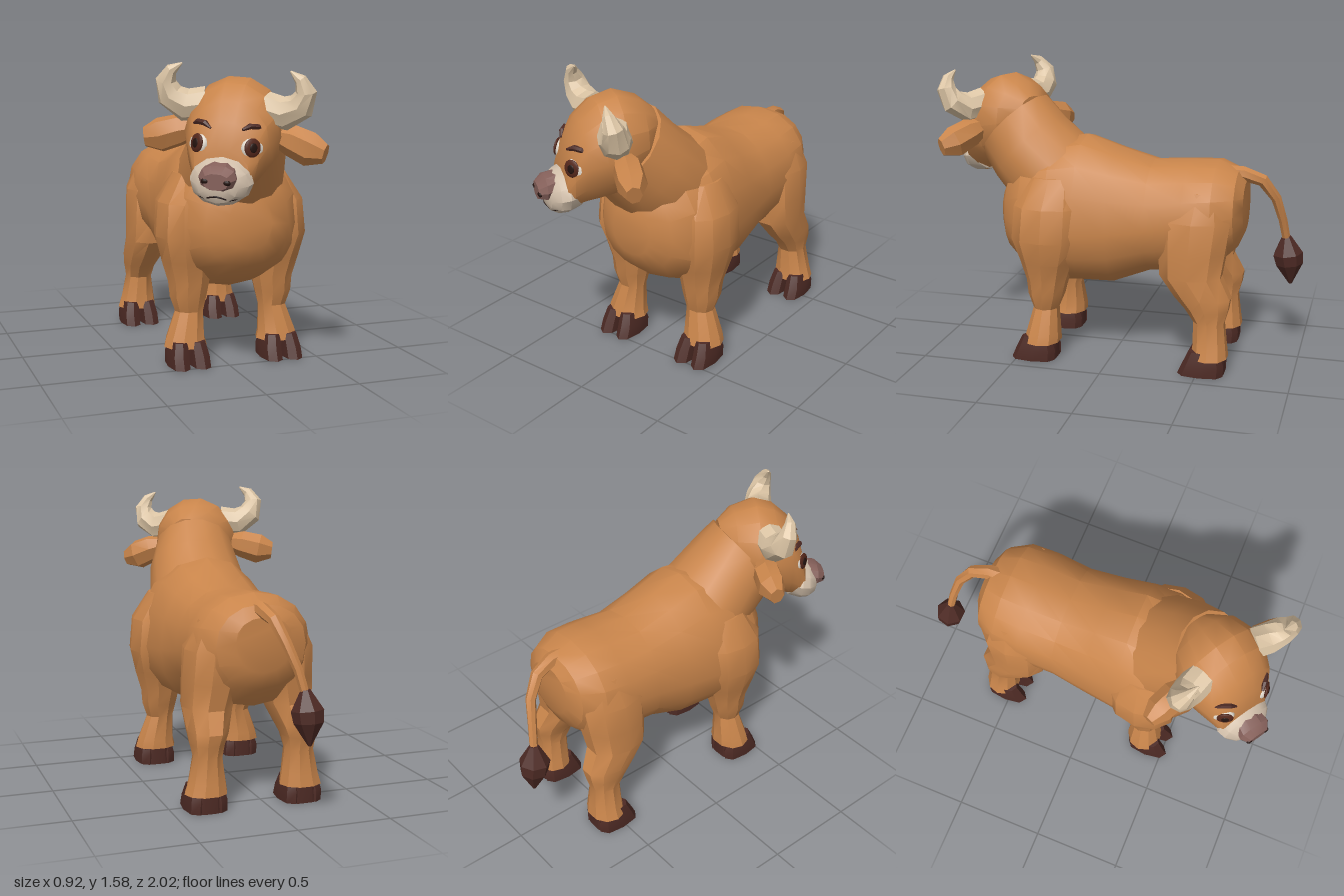
import * as THREE from 'three';
import { toCreasedNormals } from 'three/addons/utils/BufferGeometryUtils.js';

const mat = (name, color) => {
  const m = new THREE.MeshStandardMaterial({ color });
  m.name = name;
  return m;
};
const X = new THREE.Vector3(1, 0, 0), Y = new THREE.Vector3(0, 1, 0), Z = new THREE.Vector3(0, 0, 1);

// Skin through oval rings [x, y, z, sideRadius, upRadius, downRadius].
// ref sets which way "up" points; dir fixes the ring plane instead of following the path.
function loft(rings, n, ref, { dir, power = 1, crease = 0.5 } = {}) {
  const c = rings.map(r => new THREE.Vector3(r[0], r[1], r[2]));
  const pos = [], idx = [];
  const bend = v => Math.sign(v) * Math.pow(Math.abs(v), power);
  rings.forEach(([, , , rs, up = rs, down = up], i) => {
    const t = dir ? dir.clone() : c[Math.min(i + 1, c.length - 1)].clone().sub(c[Math.max(i - 1, 0)]).normalize();
    const side = ref.clone().cross(t).normalize();
    const nrm = t.clone().cross(side);
    for (let j = 0; j < n; j++) {
      const a = (j / n) * Math.PI * 2, s = bend(Math.sin(a));
      const p = c[i].clone().addScaledVector(side, rs * bend(Math.cos(a))).addScaledVector(nrm, s * (s > 0 ? up : down));
      pos.push(p.x, p.y, p.z);
    }
  });
  for (let i = 0; i < rings.length - 1; i++)
    for (let j = 0; j < n; j++) {
      const k = (j + 1) % n, a = i * n + j, b = i * n + k;
      idx.push(a, b, b + n, a, b + n, a + n);
    }
  const last = (rings.length - 1) * n;
  for (let j = 1; j < n - 1; j++) idx.push(0, j + 1, j, last, last + j, last + j + 1);
  const g = new THREE.BufferGeometry();
  g.setAttribute('position', new THREE.Float32BufferAttribute(pos, 3));
  g.setIndex(idx);
  return toCreasedNormals(g, crease);
}

function add(parent, name, geometry, material) {
  const m = new THREE.Mesh(geometry, material);
  m.name = name;
  parent.add(m);
  return m;
}

const mirror = (rings, s) => rings.map(([x, ...rest]) => [x * s, ...rest]);

export function createModel() {
  const hide = mat('tan hide', 0xc9854b);
  const hoofMat = mat('dark hoof', 0x4d2a24);
  const hornMat = mat('horn cream', 0xdcc5a5);
  const muzzleMat = mat('muzzle cream', 0xd2bfaa);
  const noseMat = mat('nose pink brown', 0x85605a);
  const whiteMat = mat('eye white', 0xe0d8cc);
  const irisMat = mat('iris brown', 0x54271b);
  const darkMat = mat('near black', 0x24130f);

  const model = new THREE.Group();
  model.name = 'bull';
  const trunk = new THREE.Group();
  trunk.name = 'trunk';
  trunk.position.x = 0.06;
  model.add(trunk);

  // Barrel body, rump to chest
  add(trunk, 'body', loft([
    [0, 0.88, -0.70, 0.15, 0.12, 0.16],
    [0, 0.85, -0.66, 0.24, 0.21, 0.22],
    [0, 0.82, -0.55, 0.31, 0.285, 0.3],
    [0, 0.80, -0.40, 0.32, 0.30, 0.3],
    [0, 0.76, -0.20, 0.31, 0.33, 0.28],
    [0, 0.73, 0.00, 0.33, 0.42, 0.33],
    [0, 0.72, 0.18, 0.355, 0.49, 0.32],
    [0, 0.72, 0.33, 0.37, 0.46, 0.33],
    [0, 0.74, 0.49, 0.32, 0.38, 0.28],
    [0, 0.755, 0.59, 0.23, 0.26, 0.21],
    [0, 0.77, 0.64, 0.12, 0.14, 0.13],
  ], 16, Y, { dir: Z, power: 0.92 }), hide);

  // Thick neck rising to the head
  add(trunk, 'neck', loft([
    [0, 0.85, 0.22, 0.28, 0.28],
    [-0.01, 0.98, 0.36, 0.285, 0.26, 0.28],
    [-0.03, 1.12, 0.50, 0.26, 0.24, 0.27],
    [-0.06, 1.23, 0.61, 0.225, 0.245, 0.25],
  ], 14, Y, { crease: 0.6 }), hide);

  // Legs with cloven hooves
  const frontLeg = [
    [0.26, 0.095, 0.37, 0.117, 0.1],
    [0.26, 0.14, 0.365, 0.105, 0.095],
    [0.235, 0.28, 0.355, 0.077, 0.07],
    [0.24, 0.36, 0.35, 0.1, 0.1],
    [0.235, 0.44, 0.345, 0.112, 0.115],
    [0.245, 0.55, 0.34, 0.135, 0.15],
    [0.27, 0.68, 0.335, 0.14, 0.195],
    [0.265, 0.86, 0.325, 0.13, 0.19],
    [0.19, 1.01, 0.31, 0.115, 0.14],
  ];
  const hindLeg = [
    [0.26, 0.09, -0.56, 0.114, 0.1],
    [0.255, 0.15, -0.56, 0.1, 0.092],
    [0.25, 0.28, -0.553, 0.077, 0.085],
    [0.25, 0.35, -0.54, 0.09, 0.12],
    [0.24, 0.41, -0.515, 0.105, 0.155],
    [0.22, 0.52, -0.445, 0.13, 0.17],
    [0.2, 0.65, -0.45, 0.148, 0.185],
    [0.19, 0.82, -0.46, 0.15, 0.2],
    [0.17, 0.97, -0.48, 0.1, 0.13],
  ];
  for (const [name, leg] of [['front', frontLeg], ['hind', hindLeg]])
    for (const s of [1, -1]) {
      const label = name + (s > 0 ? 'Left' : 'Right');
      add(trunk, label + 'Leg', loft(mirror(leg, s), 10, Z, { dir: Y, power: 0.95 }), hide);
      const hoof = new THREE.Group();
      hoof.name = label + 'Hoof';
      hoof.position.set(0.26 * s, 0, leg[0][2]);
      trunk.add(hoof);
      add(hoof, 'heel', loft([[0, 0, -0.015, 0.103, 0.07], [0, 0.095, -0.01, 0.092, 0.075]], 10, Z,
        { dir: Y, power: 0.85 }), hoofMat);
      for (const side of [1, -1])
        add(hoof, 'toe', loft([
          [0.057 * side, 0, 0.04, 0.053, 0.122],
          [0.056 * side, 0.06, 0.026, 0.053, 0.11],
          [0.047 * side, 0.13, 0.022, 0.045, 0.08],
        ], 8, Z, { dir: Y, power: 0.8 }), hoofMat);
    }

  // Tail and tuft
  add(model, 'tail', loft([
    [0.07, 1.03, -0.56, 0.05],
    [0.065, 1.035, -0.68, 0.04],
    [0.045, 1.0, -0.78, 0.034],
    [0.01, 0.9, -0.85, 0.028],
    [-0.04, 0.77, -0.885, 0.024],
    [-0.075, 0.63, -0.91, 0.022],
  ], 7, X), hide);
  add(model, 'tailTuft', loft([
    [-0.072, 0.67, -0.905, 0.025],
    [-0.08, 0.57, -0.915, 0.083],
    [-0.082, 0.51, -0.925, 0.075],
    [-0.085, 0.395, -0.935, 0.008],
  ], 7, X, { crease: 0.3 }), hoofMat);

  // Head, turned to its right and slightly tilted
  const head = new THREE.Group();
  head.name = 'head';
  head.position.set(-0.025, 1.278, 0.648);
  head.rotation.set(0, -0.57, -0.07, 'YXZ');
  model.add(head);
  add(head, 'skull', loft([
    [0, 0.03, -0.20, 0.1, 0.1],
    [0, 0.0, -0.12, 0.2, 0.2, 0.22],
    [0, -0.02, 0.0, 0.245, 0.26, 0.27],
    [0, -0.04, 0.1, 0.237, 0.25, 0.27],
    [0, -0.07, 0.19, 0.203, 0.2, 0.26],
    [0, -0.14, 0.245, 0.167, 0.17, 0.215],
    [0, -0.21, 0.28, 0.135, 0.11, 0.15],
  ], 14, Y, { dir: Z, crease: 0.6 }), hide);
  add(head, 'muzzle', loft([
    [0, -0.24, 0.2, 0.13, 0.1, 0.1],
    [0, -0.245, 0.265, 0.156, 0.12, 0.115],
    [0, -0.255, 0.31, 0.142, 0.11, 0.107],
    [0, -0.265, 0.35, 0.1, 0.085, 0.08],
    [0, -0.265, 0.368, 0.06, 0.05, 0.045],
  ], 12, Y, { dir: Z, crease: 0.6 }), muzzleMat);
  // Broad nose pad with nostrils
  add(head, 'nose', loft([
    [0, -0.21, 0.29, 0.08, 0.065, 0.04],
    [0, -0.222, 0.365, 0.092, 0.058, 0.062],
    [0, -0.235, 0.405, 0.062, 0.036, 0.042],
  ], 10, Y, { dir: Z, power: 0.85 }), noseMat);
  // Mouth line
  add(head, 'mouth', new THREE.TubeGeometry(new THREE.CatmullRomCurve3(
    [[-0.115, -0.305, 0.302], [-0.065, -0.323, 0.341], [0, -0.31, 0.366], [0.065, -0.323, 0.341], [0.115, -0.305, 0.302]]
      .map(p => new THREE.Vector3(...p))), 12, 0.006, 5), darkMat);

  const ball = new THREE.SphereGeometry(1, 14, 10);
  for (const s of [1, -1]) {
    const label = s > 0 ? 'left' : 'right';
    add(head, label + 'Horn', loft(mirror([
      [0.15, 0.095, 0.05, 0.083],
      [0.25, 0.08, 0.07, 0.082],
      [0.325, 0.125, 0.09, 0.07],
      [0.345, 0.195, 0.11, 0.052],
      [0.315, 0.25, 0.125, 0.03],
      [0.265, 0.285, 0.125, 0.004],
    ], s), 8, Z, { crease: 0.4 }), hornMat);
    add(head, label + 'Ear', loft(mirror([
      [0.19, -0.03, 0.02, 0.045, 0.045],
      [0.28, -0.05, 0.02, 0.075, 0.08],
      [0.38, -0.085, 0.03, 0.075, 0.088],
      [0.455, -0.1, 0.045, 0.04, 0.05],
    ], s), 7, Y, { crease: 0.4 }), hide);
    const nostril = add(head, label + 'Nostril', ball, darkMat);
    nostril.scale.set(0.019, 0.014, 0.012);
    nostril.position.set(0.052 * s, -0.237, 0.398);

    // Eye: white, iris and pupil stacked outward
    const eye = new THREE.Group();
    eye.name = label + 'Eye';
    eye.position.set(0.132 * s, -0.088, 0.23);
    eye.rotation.set(-0.1, 0.68 * s, 0, 'YXZ');
    head.add(eye);
    add(eye, 'eyeWhite', ball, whiteMat).scale.set(0.064, 0.058, 0.03);
    const iris = add(eye, 'iris', ball, irisMat);
    iris.scale.set(0.044, 0.046, 0.012);
    iris.position.set(-0.014 * s, 0.006, 0.023);
    const pupil = add(eye, 'pupil', ball, darkMat);
    pupil.scale.set(0.02, 0.023, 0.005);
    pupil.position.set(-0.014 * s, 0.006, 0.033);
    // Eyebrow
    add(eye, 'eyebrow', loft([
      [-0.06, 0.09, 0.004, 0.007],
      [-0.02, 0.107, 0.005, 0.015],
      [0.025, 0.105, 0, 0.015],
      [0.06, 0.085, -0.01, 0.005],
    ], 6, Y), hoofMat);
  }
  return model;
}
